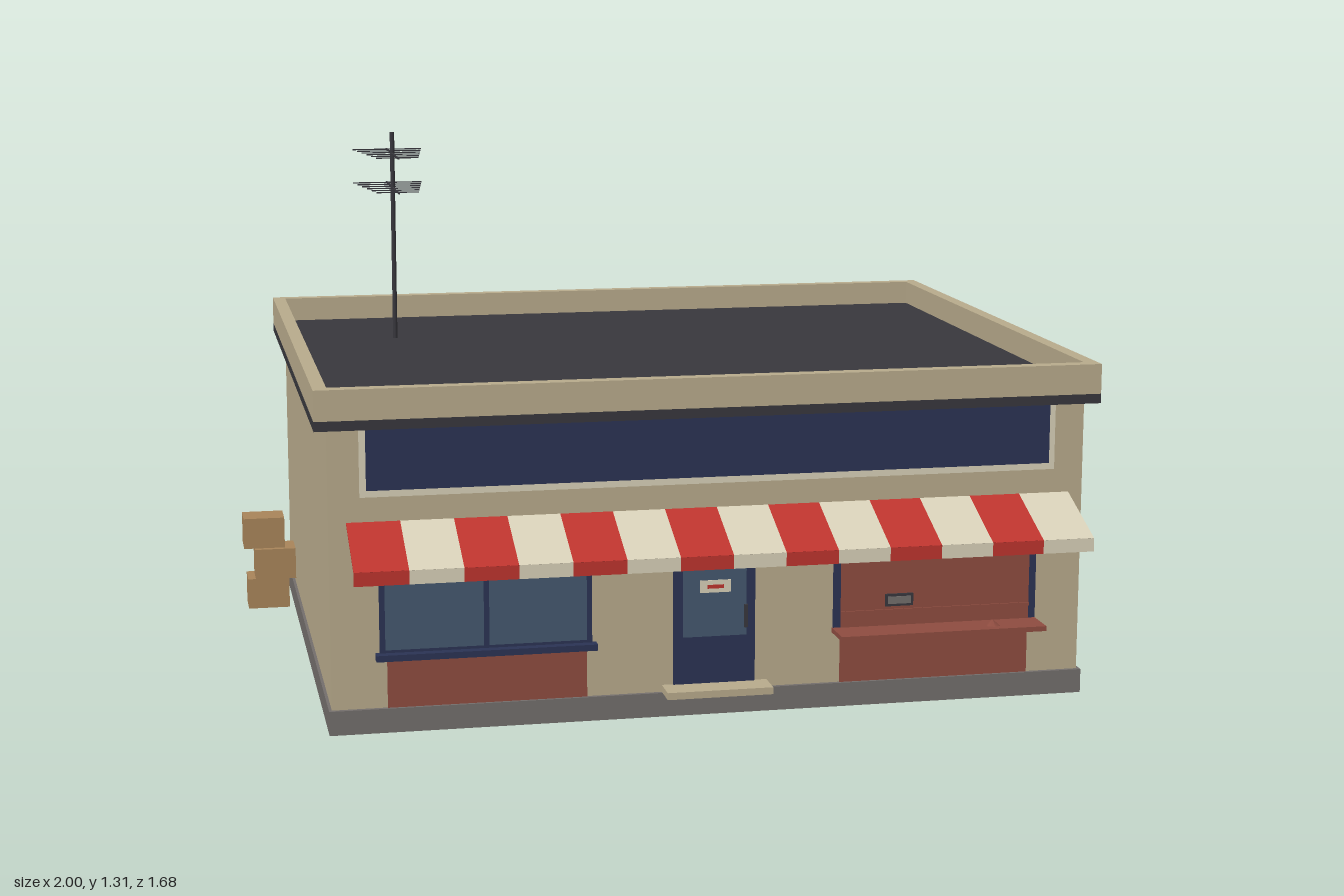
import * as THREE from 'three';

const mat = (name, color, side = THREE.FrontSide) => {
  const m = new THREE.MeshStandardMaterial({ color, side });
  m.name = name;
  return m;
};

export function createModel() {
  const wall = mat('sand render', 0xb8ab8c);
  const grey = mat('concrete grey', 0x736e6c);
  const dark = mat('roof charcoal', 0x38373d);
  const navy = mat('navy paint', 0x2b3354);
  const glass = mat('window glass', 0x45586e);
  const brick = mat('brick red', 0x8e4c40);
  const cream = mat('cream', 0xd8d0b8, THREE.DoubleSide);
  const red = mat('awning red', 0xbe342e, THREE.DoubleSide);
  const card = mat('cardboard', 0xa9855a);
  const green = mat('door green', 0x344a35);

  const model = new THREE.Group();
  model.name = 'cornerShop';
  const group = (name) => {
    const g = new THREE.Group();
    g.name = name;
    model.add(g);
    return g;
  };
  // box given by its limits on each axis
  const box = (name, m, x0, x1, y0, y1, z0, z1, parent = model) => {
    const mesh = new THREE.Mesh(new THREE.BoxGeometry(x1 - x0, y1 - y0, z1 - z0), m);
    mesh.position.set((x0 + x1) / 2, (y0 + y1) / 2, (z0 + z1) / 2);
    mesh.name = name;
    parent.add(mesh);
    return mesh;
  };

  // shell: plinth, walls, fascia, roof deck
  box('plinth', grey, -0.857, 0.973, 0, 0.058, -0.812, 0.655);
  box('walls', wall, -0.85, 0.965, 0.058, 0.725, -0.805, 0.645);
  box('fascia', dark, -0.88, 0.995, 0.722, 0.745, -0.842, 0.677);
  box('roofDeck', dark, -0.86, 0.975, 0.745, 0.755, -0.82, 0.655);

  // parapet: one frame with a hole
  const rect = (s, x0, x1, y0, y1) => s.moveTo(x0, y0).lineTo(x1, y0).lineTo(x1, y1).lineTo(x0, y1).closePath();
  const frame = rect(new THREE.Shape(), -0.88, 0.995, -0.677, 0.842);
  frame.holes.push(rect(new THREE.Path(), -0.847, 0.962, -0.643, 0.81));
  const parapetGeo = new THREE.ExtrudeGeometry(frame, { depth: 0.072, bevelEnabled: false });
  const parapet = new THREE.Mesh(parapetGeo.rotateX(-Math.PI / 2), wall);
  parapet.position.y = 0.745;
  parapet.name = 'parapet';
  model.add(parapet);

  // drainpipe on the left wall
  const pipe = new THREE.Mesh(new THREE.CylinderGeometry(0.01, 0.01, 0.664, 10), grey);
  pipe.position.set(0.975, 0.39, 0.59);
  pipe.name = 'drainpipe';
  model.add(pipe);

  // blank sign board
  box('signBorder', cream, -0.777, 0.892, 0.56, 0.722, 0.64, 0.65);
  box('signPanel', navy, -0.762, 0.877, 0.576, 0.721, 0.645, 0.654);

  // shop window
  const win = group('shopWindow');
  box('windowFrame', navy, -0.737, -0.238, 0.19, 0.48, 0.64, 0.65, win);
  for (const [a, b] of [[-0.724, -0.494], [-0.481, -0.251]])
    box('windowPane', glass, a, b, 0.197, 0.467, 0.645, 0.652, win);
  box('windowSill', navy, -0.747, -0.228, 0.175, 0.19, 0.64, 0.672, win);
  box('brickPanel', brick, -0.72, -0.25, 0.058, 0.175, 0.64, 0.648, win);

  // front door
  const door = group('frontDoor');
  box('doorFrame', navy, -0.043, 0.155, 0.058, 0.48, 0.64, 0.65, door);
  box('doorGlass', glass, -0.02, 0.133, 0.19, 0.46, 0.645, 0.653, door);
  box('noticePlate', cream, 0.02, 0.095, 0.297, 0.327, 0.65, 0.655, door);
  box('noticeStripe', red, 0.038, 0.077, 0.307, 0.316, 0.651, 0.656, door);
  box('doorHandle', dark, 0.127, 0.135, 0.21, 0.265, 0.65, 0.662, door);
  box('doorStep', wall, -0.07, 0.185, 0.058, 0.075, 0.645, 0.715, door);

  // serving hatch with shutter and counter
  const hatch = group('servingHatch');
  box('hatchFrame', navy, 0.347, 0.853, 0.19, 0.48, 0.64, 0.65, hatch);
  box('shutter', brick, 0.365, 0.835, 0.19, 0.468, 0.645, 0.653, hatch);
  box('shutterRail', brick, 0.365, 0.835, 0.226, 0.234, 0.65, 0.657, hatch);
  box('brickPanel', brick, 0.365, 0.835, 0.058, 0.185, 0.64, 0.648, hatch);
  box('counter', brick, 0.345, 0.853, 0.182, 0.194, 0.645, 0.735, hatch);
  box('plaqueFrame', dark, 0.474, 0.543, 0.242, 0.272, 0.65, 0.658, hatch);
  box('plaque', grey, 0.48, 0.537, 0.248, 0.266, 0.652, 0.66, hatch);
  const lump = new THREE.Mesh(new THREE.ConeGeometry(0.018, 0.014, 6), brick);
  lump.position.set(0.73, 0.201, 0.7);
  lump.name = 'counterItem';
  hatch.add(lump);

  // striped awning: sloping cloth and a hanging valance
  const awning = group('awning');
  const stripes = 14, left = -0.81, width = 1.735 / stripes;
  const slope = Math.atan2(0.073, 0.18), run = Math.hypot(0.073, 0.18);
  for (let i = 0; i < stripes; i++) {
    const m = i % 2 ? cream : red;
    const x = left + (i + 0.5) * width;
    const cloth = new THREE.Mesh(new THREE.BoxGeometry(width, 0.004, run), m);
    cloth.position.set(x, 0.467, 0.75);
    cloth.rotation.x = slope;
    cloth.name = 'awningStripe';
    awning.add(cloth);
    box('valanceStripe', m, x - width / 2, x + width / 2, 0.4, 0.432, 0.837, 0.841, awning);
  }

  // back door
  box('backDoor', green, -0.58, -0.39, 0.058, 0.44, -0.81, -0.8);

  // stacked cartons against the right wall
  const cartons = group('cartons');
  box('cartonBottom', card, -0.992, -0.884, 0.058, 0.138, -0.405, -0.315, cartons);
  box('cartonMiddle', card, -0.972, -0.866, 0.138, 0.219, -0.398, -0.308, cartons);
  box('cartonTop', card, -1, -0.893, 0.219, 0.3, -0.412, -0.324, cartons);

  // aerial: mast, two booms and tapering rods
  const aerial = group('aerial');
  const mast = new THREE.Mesh(new THREE.CylinderGeometry(0.006, 0.006, 0.555, 8), dark);
  mast.position.set(-0.578, 1.03, -0.442);
  mast.name = 'mast';
  aerial.add(mast);
  for (const y of [1.16, 1.25]) {
    box('boom', dark, -0.58, -0.576, y - 0.002, y + 0.002, -0.605, -0.28, aerial);
    for (let i = 0; i < 6; i++) {
      const z = -0.585 + i * 0.0545, half = 0.093 - i * 0.0075;
      box('rod', dark, -0.578 - half, -0.578 + half, y - 0.0015, y + 0.0015, z - 0.0015, z + 0.0015, aerial);
    }
  }
  return model;
}
